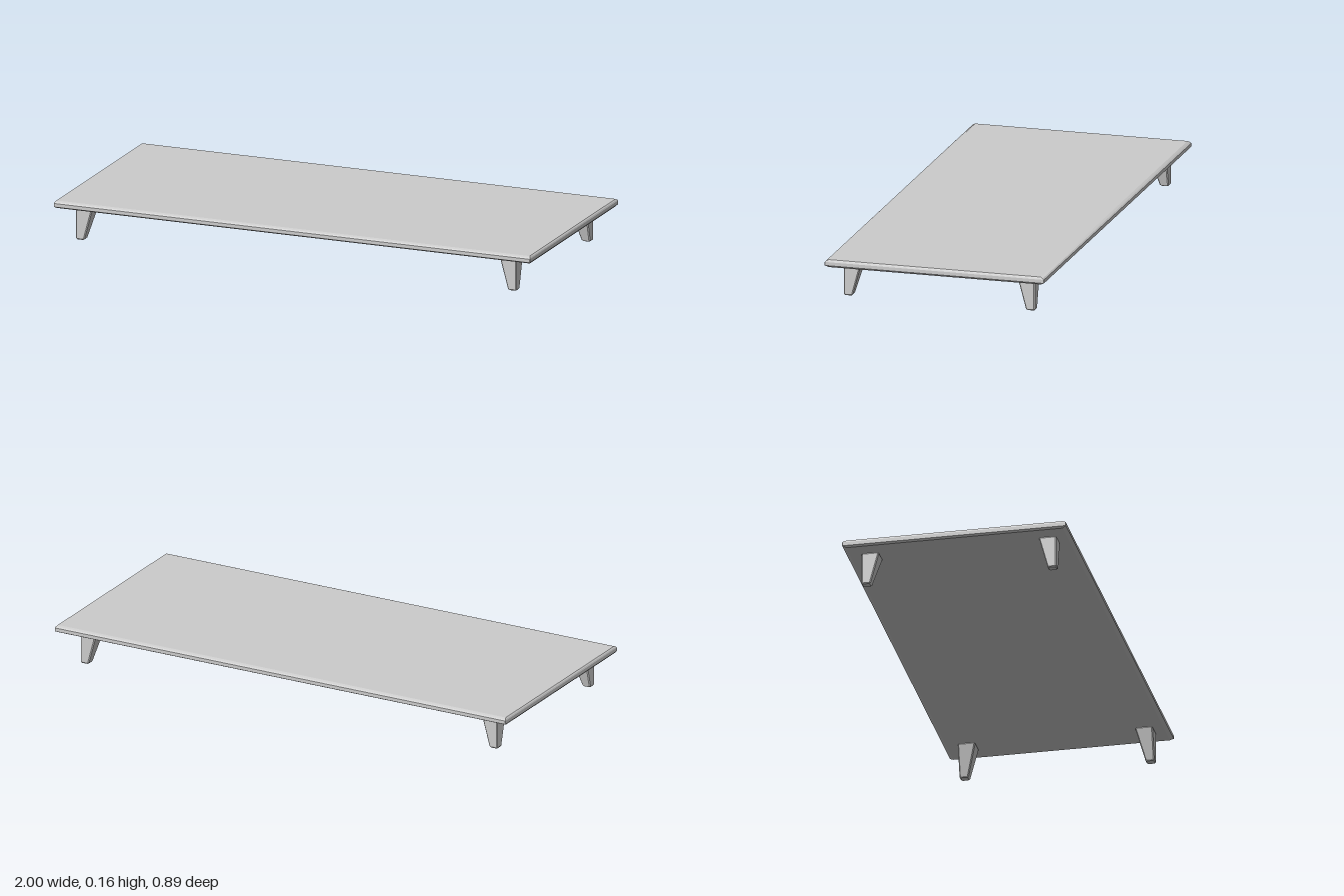
import * as THREE from 'three';
import { toCreasedNormals } from 'three/addons/utils/BufferGeometryUtils.js';

const material = new THREE.MeshStandardMaterial({ color: 0xcccccc });

// Loft through rectangular rings [y, x0, x1, z0, z1] with cut corners of size c, capped at both ends
function loft(rings, c) {
  const pos = [], index = [];
  for (const [y, x0, x1, z0, z1] of rings) {
    const outline = [
      [x0 + c, z0], [x0, z0 + c], [x0, z1 - c], [x0 + c, z1],
      [x1 - c, z1], [x1, z1 - c], [x1, z0 + c], [x1 - c, z0],
    ];
    for (const [x, z] of outline) pos.push(x, y, z);
  }
  const n = 8, last = (rings.length - 1) * n;
  for (let r = 0; r < last; r += n) {
    for (let i = 0; i < n; i++) {
      const a = r + i, b = r + (i + 1) % n;
      index.push(a, b, b + n, a, b + n, a + n);
    }
  }
  for (let i = 1; i < n - 1; i++) {
    index.push(0, i + 1, i, last, last + i, last + i + 1);
  }
  const geometry = new THREE.BufferGeometry();
  geometry.setAttribute('position', new THREE.Float32BufferAttribute(pos, 3));
  geometry.setIndex(index);
  return toCreasedNormals(geometry, 0.35);
}

function addPart(group, name, geometry) {
  const mesh = new THREE.Mesh(geometry, material);
  mesh.name = name;
  group.add(mesh);
}

export function createModel() {
  const group = new THREE.Group();
  group.name = 'lowTable';

  // Thin top with bevelled edges: height, inset in x, inset in z
  const edge = [[0.13, 0.006, 0.014], [0.137, 0, 0], [0.151, 0, 0], [0.156, 0.002, 0.005], [0.16, 0.006, 0.014]];
  addPart(group, 'tableTop', loft(
    edge.map(([y, ix, iz]) => [y, ix - 1, 1 - ix, iz - 0.443, 0.443 - iz]), 0.001));

  // Legs: outer faces upright, inner faces tapering, softened ends (height, width, inset)
  const profile = [[0, 0.035, 0.003], [0.004, 0.036, 0], [0.126, 0.069, 0], [0.13, 0.069, 0.003]];
  for (const [side, sx, outerX] of [['Left', 1, 0.921], ['Right', -1, 0.93]]) {
    for (const [end, sz, outerZ] of [['front', 1, 0.39], ['back', -1, 0.382]]) {
      const rings = profile.map(([y, w, inset]) => {
        const x = [sx * (outerX - inset), sx * (outerX - w + inset)].sort((a, b) => a - b);
        const z = [sz * (outerZ - inset), sz * (outerZ - w + inset)].sort((a, b) => a - b);
        return [y, ...x, ...z];
      });
      addPart(group, `${end}${side}Leg`, loft(rings, 0.004));
    }
  }
  return group;
}
